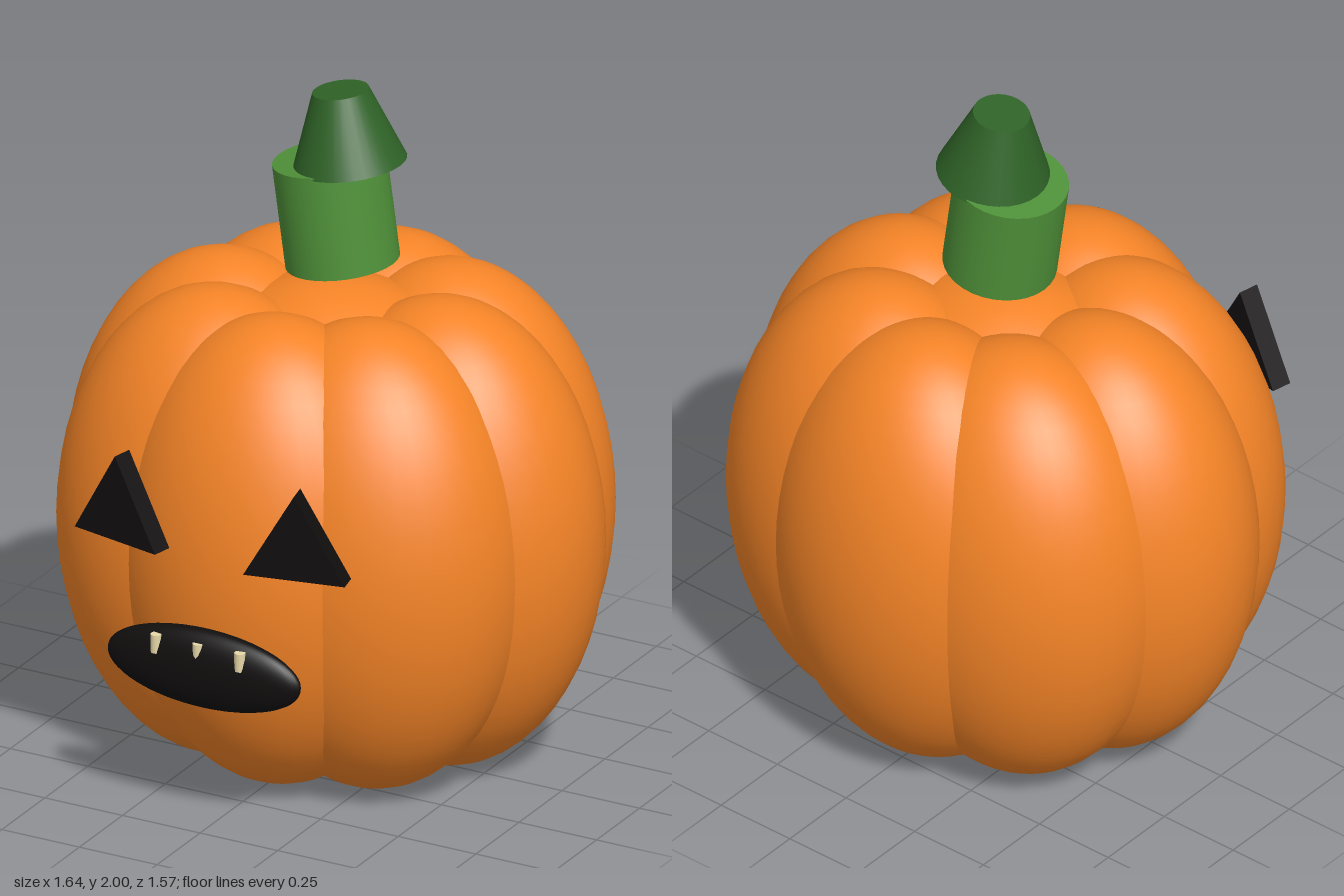
import * as THREE from 'three';

const mat = (color) => new THREE.MeshStandardMaterial({ color });

export function createModel() {
  const model = new THREE.Group();
  model.name = 'carvedPumpkin';

  const orange = mat(0xf58427);
  const green = mat(0x4f9139);
  const darkGreen = mat(0x2f6327);
  const black = mat(0x110e0e);
  const ivory = mat(0xe6d8a8);

  function add(parent, name, geometry, material, x, y, z) {
    const mesh = new THREE.Mesh(geometry, material);
    mesh.name = name;
    mesh.position.set(x, y, z);
    parent.add(mesh);
    return mesh;
  }

  // Body: eight overlapping ellipsoid lobes around a core
  const body = new THREE.Group();
  body.name = 'body';
  body.position.set(0, 0.705, -0.04);
  model.add(body);
  const sphere = new THREE.SphereGeometry(1, 40, 28);
  for (let i = 0; i < 8; i++) {
    const a = (i * Math.PI) / 4;
    add(body, 'lobe', sphere, orange, 0.35 * Math.cos(a), 0, 0.34 * Math.sin(a))
      .scale.set(0.47, 0.705, 0.405);
  }
  add(body, 'core', sphere, orange, 0, 0, 0).scale.set(0.6, 0.695, 0.51);

  // Stem: tilted cylinder with a tapered, offset tip
  const tilt = 0.14;
  add(model, 'stem', new THREE.CylinderGeometry(0.163, 0.163, 0.31, 32), green, 0, 1.617, -0.04)
    .rotation.z = tilt;
  add(model, 'stemTip', new THREE.CylinderGeometry(0.081, 0.163, 0.218, 32), darkGreen, 0.03, 1.88, -0.04)
    .rotation.z = tilt;

  // Eyes: triangular prisms turned outward
  const r = 0.173;
  const triangle = new THREE.Shape([
    new THREE.Vector2(-r * 0.866, -r / 2),
    new THREE.Vector2(r * 0.866, -r / 2),
    new THREE.Vector2(0, r),
  ]);
  const eyeGeometry = new THREE.ExtrudeGeometry(triangle, { depth: 0.062, bevelEnabled: false });
  eyeGeometry.translate(0, 0, -0.031);
  for (const side of [1, -1]) {
    add(model, side > 0 ? 'leftEye' : 'rightEye', eyeGeometry, black, side * 0.282, 0.917, 0.695)
      .rotation.y = side * 0.21;
  }

  // Mouth: flattened ellipsoid with three small teeth
  add(model, 'mouth', sphere, black, 0, 0.5, 0.725).scale.set(0.31, 0.12, 0.058);
  const toothGeometry = new THREE.CylinderGeometry(0.016, 0.016, 0.055, 12);
  for (const x of [-0.135, 0, 0.135]) {
    add(model, 'tooth', toothGeometry, ivory, x, 0.563, 0.762);
  }

  return model;
}
